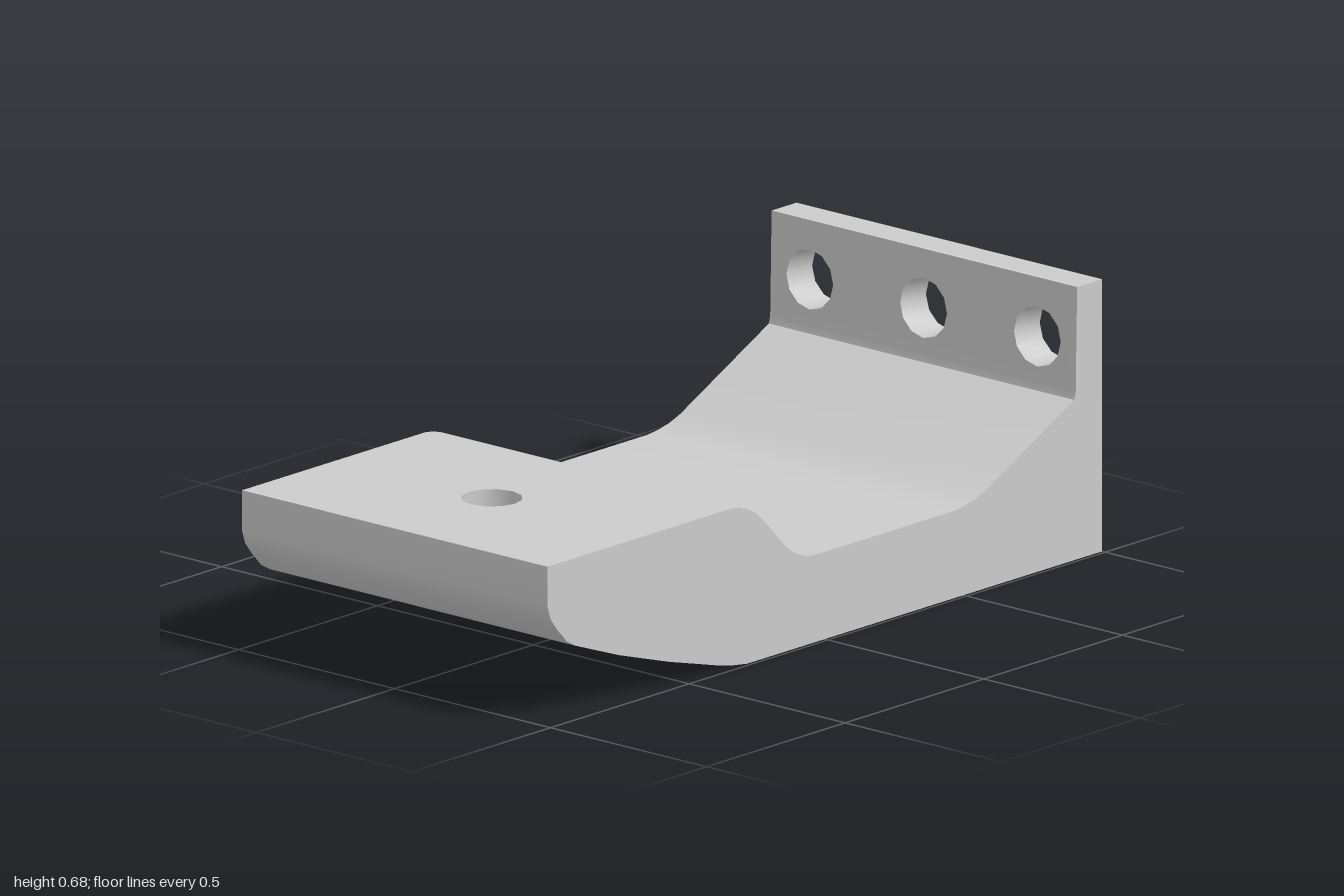
import * as THREE from 'three';
import { mergeGeometries, toCreasedNormals } from 'three/addons/utils/BufferGeometryUtils.js';

const HALF = 0.49, R = 0.075, SIDES = 12;

// Side profile as [z, y]: underside to the front, up the nose, back along the top, up the flange
const profile = [
  [-1, 0], [0.28, 0], [0.33, 0.007], [0.39, 0.02], [0.46, 0.039], [0.56, 0.066], [0.74, 0.122],
  [0.9, 0.181], [0.93, 0.198], [0.965, 0.235], [0.988, 0.265], [1, 0.3], [1, 0.4],
  [0.34, 0.4], [0.31, 0.396], [0.28, 0.387], [0.25, 0.37], [0.22, 0.345],
  [0.15, 0.272], [0.12, 0.246], [0.09, 0.23], [0.06, 0.221], [0.02, 0.218],
  [-0.46, 0.218], [-0.5, 0.222], [-0.54, 0.23], [-0.58, 0.244],
  [-0.9, 0.4], [-0.905, 0.42], [-0.91, 0.68], [-1, 0.68],
];

// Holes: x centre, and centre along z (axis 0) or y (axis 1)
const holes = [
  { name: 'deckHole', x: 0, axis: 0, u: 0.65 },
  ...[-0.365, 0, 0.365].map((x) => ({ name: 'flangeHole', x, axis: 1, u: 0.533 })),
];

// Rim of a hole on segment a-b, as [x, t] with t running from a to b
function rim(hole, a, b) {
  return Array.from({ length: SIDES }, (_, i) => {
    const ang = (i / SIDES) * Math.PI * 2;
    const u = hole.u + R * Math.sin(ang);
    return [hole.x + R * Math.cos(ang), (u - a[hole.axis]) / (b[hole.axis] - a[hole.axis])];
  });
}

const pierces = (hole, a, b) =>
  Math.min(a[hole.axis], b[hole.axis]) < hole.u - R && Math.max(a[hole.axis], b[hole.axis]) > hole.u + R;

const onSegment = ([x, t], a, b) => [x, a[1] + (b[1] - a[1]) * t, a[0] + (b[0] - a[0]) * t];

const toVectors = (pts) => pts.map(([x, y]) => new THREE.Vector2(x, y));

// One full-width strip of skin along a profile segment, with its holes cut out
function strip(a, b) {
  const shape = new THREE.Shape(toVectors([[-HALF, 0], [HALF, 0], [HALF, 1], [-HALF, 1]]));
  for (const hole of holes) {
    if (pierces(hole, a, b)) shape.holes.push(new THREE.Path(toVectors(rim(hole, a, b))));
  }
  const geo = new THREE.ShapeGeometry(shape);
  const pos = geo.attributes.position;
  for (let i = 0; i < pos.count; i++) {
    pos.setXYZ(i, ...onSegment([pos.getX(i), pos.getY(i)], a, b));
  }
  return geo;
}

// Flat end face on the left (side = 1) or right (side = -1)
function endFace(side) {
  const shape = new THREE.Shape(toVectors(profile.map(([z, y]) => [-side * z, y])));
  return new THREE.ShapeGeometry(shape).rotateY((side * Math.PI) / 2).translate(side * HALF, 0, 0);
}

// Inner wall of a hole, joining the two segments it pierces
function holeWall(hole, segments) {
  const [near, far] = segments
    .filter(([a, b]) => pierces(hole, a, b))
    .map(([a, b]) => rim(hole, a, b).map((p) => onSegment(p, a, b)));
  const pts = [];
  for (let i = 0; i < SIDES; i++) {
    const j = (i + 1) % SIDES;
    pts.push(...near[i], ...near[j], ...far[j], ...near[i], ...far[j], ...far[i]);
  }
  const geo = new THREE.BufferGeometry();
  geo.setAttribute('position', new THREE.Float32BufferAttribute(pts, 3));
  return geo;
}

export function createModel() {
  const group = new THREE.Group();
  group.name = 'bracket';
  const material = new THREE.MeshStandardMaterial({ color: 0xcccccc });
  const add = (name, geo) => {
    const mesh = new THREE.Mesh(toCreasedNormals(geo, 0.6), material);
    mesh.name = name;
    group.add(mesh);
  };

  const segments = profile.map((a, i) => [a, profile[(i + 1) % profile.length]]);
  add('bracketBody', mergeGeometries(segments.map(([a, b]) => strip(a, b))));
  add('leftFace', endFace(1));
  add('rightFace', endFace(-1));
  for (const hole of holes) add(hole.name, holeWall(hole, segments));
  return group;
}
